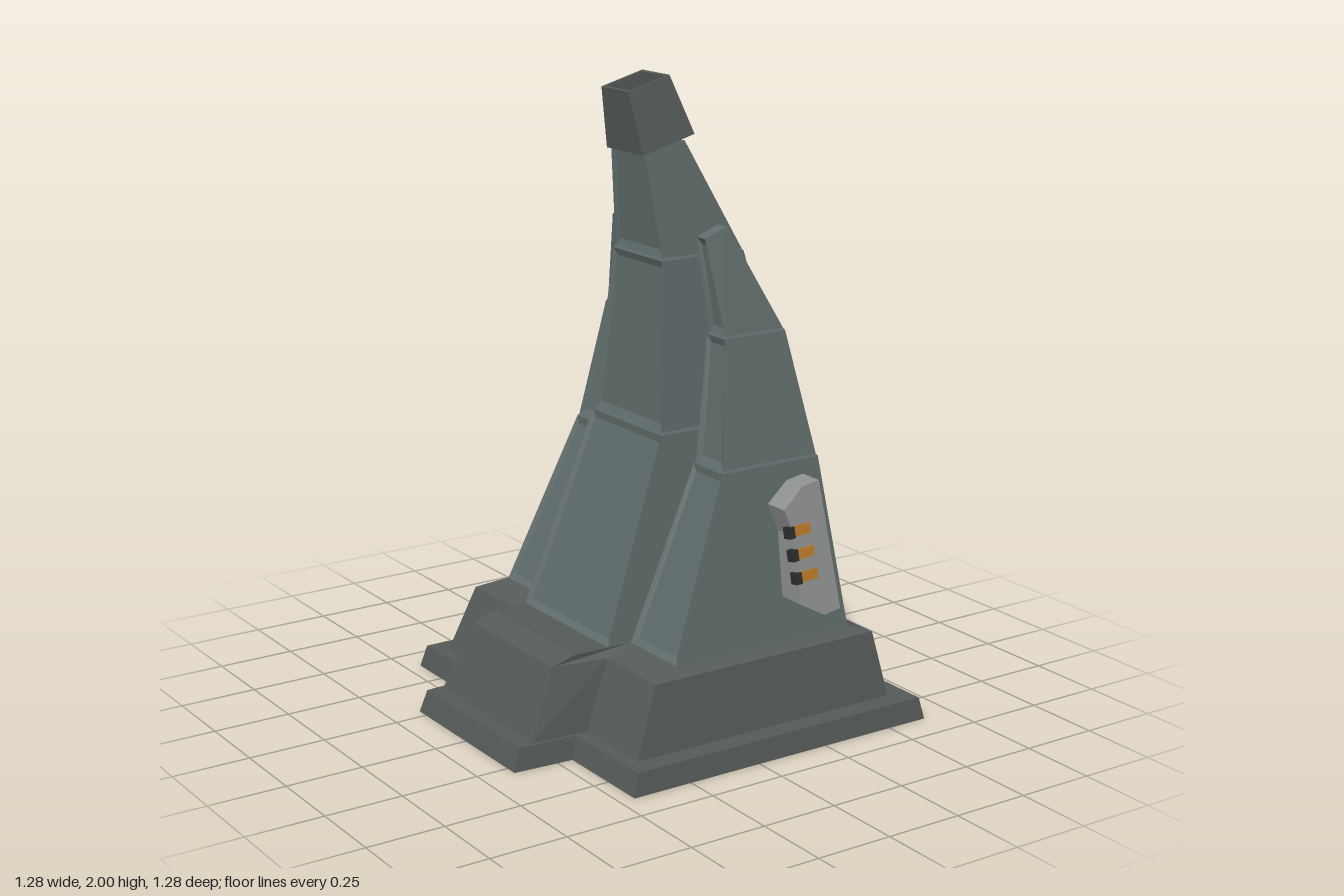
import * as THREE from 'three';

const mat = (color) => new THREE.MeshStandardMaterial({ color, flatShading: true, side: THREE.DoubleSide });
const stone = mat(0x5f6c6b), plinthGrey = mat(0x555b59), capGrey = mat(0x565c5a);
const boxGrey = mat(0x8f9090), orange = mat(0xb97a2b), dark = mat(0x2c2e2e);

// Rectangular ring, counter-clockwise from above; the left and right ends may differ in height
const rect = (x0, x1, z0, z1, yl, yr = yl) => [
  [x1, yr, z1], [x1, yr, z0], [x0, yl, z0], [x0, yl, z1],
].map((p) => new THREE.Vector3(...p));

// Skins rings of equal point count; panelSide gets a shallow recessed panel on tall bands
function loft(name, rings, material, { top = false, panelSide = -1 } = {}) {
  const pos = [];
  const tri = (...pts) => pts.forEach((p) => pos.push(p.x, p.y, p.z));
  const quad = (a, b, c, d) => tri(a, b, c, a, c, d);
  for (let r = 0; r < rings.length - 1; r++) {
    const lo = rings[r], hi = rings[r + 1], n = lo.length;
    for (let i = 0; i < n; i++) {
      const q = [lo[i], lo[(i + 1) % n], hi[(i + 1) % n], hi[i]];
      if (i !== panelSide || hi[i].y - lo[i].y < 0.05) { quad(...q); continue; }
      const u = 0.018 / q[0].distanceTo(q[1]), v = 0.022 / q[0].distanceTo(q[3]);
      const normal = q[1].clone().sub(q[0]).cross(q[3].clone().sub(q[0])).normalize();
      const inner = [[u, v], [1 - u, v], [1 - u, 1 - v], [u, 1 - v]].map(([s, t]) =>
        q[0].clone().lerp(q[1], s).lerp(q[3].clone().lerp(q[2], s), t).addScaledVector(normal, -0.01));
      for (let k = 0; k < 4; k++) quad(q[k], q[(k + 1) % 4], inner[(k + 1) % 4], inner[k]);
      quad(...inner);
    }
  }
  if (top) {
    const t = rings[rings.length - 1];
    for (let i = 1; i < t.length - 1; i++) tri(t[0], t[i], t[i + 1]);
  }
  const g = new THREE.BufferGeometry();
  g.setAttribute('position', new THREE.Float32BufferAttribute(pos, 3));
  g.computeVertexNormals();
  const mesh = new THREE.Mesh(g, material);
  mesh.name = name;
  return mesh;
}

// Rings of a tapering tower, with a small step at each joint. Level: [x0, x1, z0, z1, yLeft, yRight]
function towerRings(levels) {
  const rings = [], s = 0.005;
  levels.forEach(([x0, x1, z0, z1, yl, yr = yl], i) => {
    rings.push(rect(x0, x1, z0, z1, yl, yr));
    if (i > 0 && i < levels.length - 1) rings.push(rect(x0 + s, x1 - s, z0 + s, z1 - s, yl + 0.008, yr + 0.008));
  });
  return rings;
}

// Plinth outline: a square with a narrower step projecting to -x
const outline = (y, xEnd, xJoin, xBack, zEnd, zJoin, zMain) => [
  [xBack, zMain], [xBack, -zMain], [xJoin, -zMain], [xJoin, -zJoin],
  [xEnd, -zEnd], [xEnd, zEnd], [xJoin, zJoin], [xJoin, zMain],
].map(([x, z]) => new THREE.Vector3(x, y, z));

export function createModel() {
  const model = new THREE.Group();
  model.name = 'tower';

  // Hollow stepped plinth, open underneath
  model.add(loft('plinth', [
    outline(0.07, -0.57, -0.385, 0.555, 0.27, 0.283, 0.56),
    outline(0, -0.59, -0.40, 0.58, 0.25, 0.26, 0.58),
    outline(0, -0.645, -0.45, 0.64, 0.29, 0.303, 0.64),
    outline(0.07, -0.622, -0.43, 0.625, 0.28, 0.293, 0.628),
    outline(0.07, -0.57, -0.385, 0.555, 0.27, 0.283, 0.56),
    outline(0.28, -0.475, -0.30, 0.515, 0.235, 0.265, 0.525),
    outline(0.305, -0.40, -0.20, 0.447, 0.24, 0.245, 0.485),
    outline(0.305, -0.28, -0.20, 0.447, 0.24, 0.24, 0.485),
  ], plinthGrey));

  // Curved central tower
  model.add(loft('centralTower', towerRings([
    [-0.282, 0.447, -0.24, 0.243, 0.305],
    [-0.057, 0.425, -0.186, 0.196, 0.925],
    [-0.02, 0.283, -0.122, 0.144, 1.45],
    [-0.056, 0.095, -0.08, 0.095, 1.8],
  ]), stone, { top: true, panelSide: 2 }));

  // Side fins: [x0, x1, inner z, outer z, z shift, yLeft, yRight]
  const finLevels = [
    [-0.2, 0.445, 0.242, 0.485, 0.003, 0.305, 0.305],
    [0.015, 0.375, 0.256, 0.403, 0.011, 0.845, 0.845],
    [0.075, 0.3, 0.233, 0.325, 0.013, 1.235, 1.235],
    [0.053, 0.133, 0.206, 0.25, 0.013, 1.53, 1.56],
  ];
  for (const side of [1, -1]) {
    const levels = finLevels.map(([x0, x1, zi, zo, c, yl, yr]) =>
      [x0, x1, c + Math.min(side * zi, side * zo), c + Math.max(side * zi, side * zo), yl, yr]);
    model.add(loft(side > 0 ? 'frontFin' : 'backFin', towerRings(levels), stone, { top: true, panelSide: 2 }));
  }

  // Tilted hollow cap
  model.add(loft('cap', [
    rect(-0.03, 0.07, -0.05, 0.08, 1.783, 1.81),
    rect(-0.068, 0.118, -0.083, 0.114, 1.77, 1.82),
    rect(-0.102, 0.045, -0.06, 0.086, 1.96, 2.0),
    rect(-0.092, 0.036, -0.052, 0.078, 1.962, 1.997),
    rect(-0.06, 0.05, -0.055, 0.08, 1.83, 1.86),
  ], capGrey, { top: true }));

  // Control box leaning against the front fin
  const lean = (y) => 0.569 - 0.168 * (y - 0.39);
  const shape = new THREE.Shape([
    [0.175, 0.73], [0.205, 0.645], [0.205, 0.44], [0.29, 0.393], [0.353, 0.402],
    [0.313, 0.8], [0.25, 0.79],
  ].map((p) => new THREE.Vector2(...p)));
  const boxGeo = new THREE.ExtrudeGeometry(shape, { depth: 0.09, bevelEnabled: false });
  const p = boxGeo.attributes.position;
  for (let i = 0; i < p.count; i++) p.setZ(i, p.getZ(i) - 0.09 + lean(p.getY(i)));
  boxGeo.computeVertexNormals();
  const controlBox = new THREE.Group();
  controlBox.name = 'controlBox';
  const housing = new THREE.Mesh(boxGeo, boxGrey);
  housing.name = 'housing';
  controlBox.add(housing);

  // Three lit bars with dark slots beside them
  const addBar = (name, x, y, w, h, d, material) => {
    const m = new THREE.Mesh(new THREE.BoxGeometry(w, h, d), material);
    m.position.set(x, y, lean(y) - d / 2 + 0.006);
    m.rotation.set(-0.166, 0, 0.06);
    m.name = name;
    controlBox.add(m);
  };
  for (let i = 0; i < 3; i++) {
    const y = 0.522 + i * 0.07;
    addBar('lightBar', 0.242 - i * 0.007, y, 0.068, 0.032, 0.03, orange);
    addBar('slot', 0.205 - i * 0.006, y - 0.004, 0.022, 0.036, 0.03, dark);
  }
  model.add(controlBox);
  return model;
}
